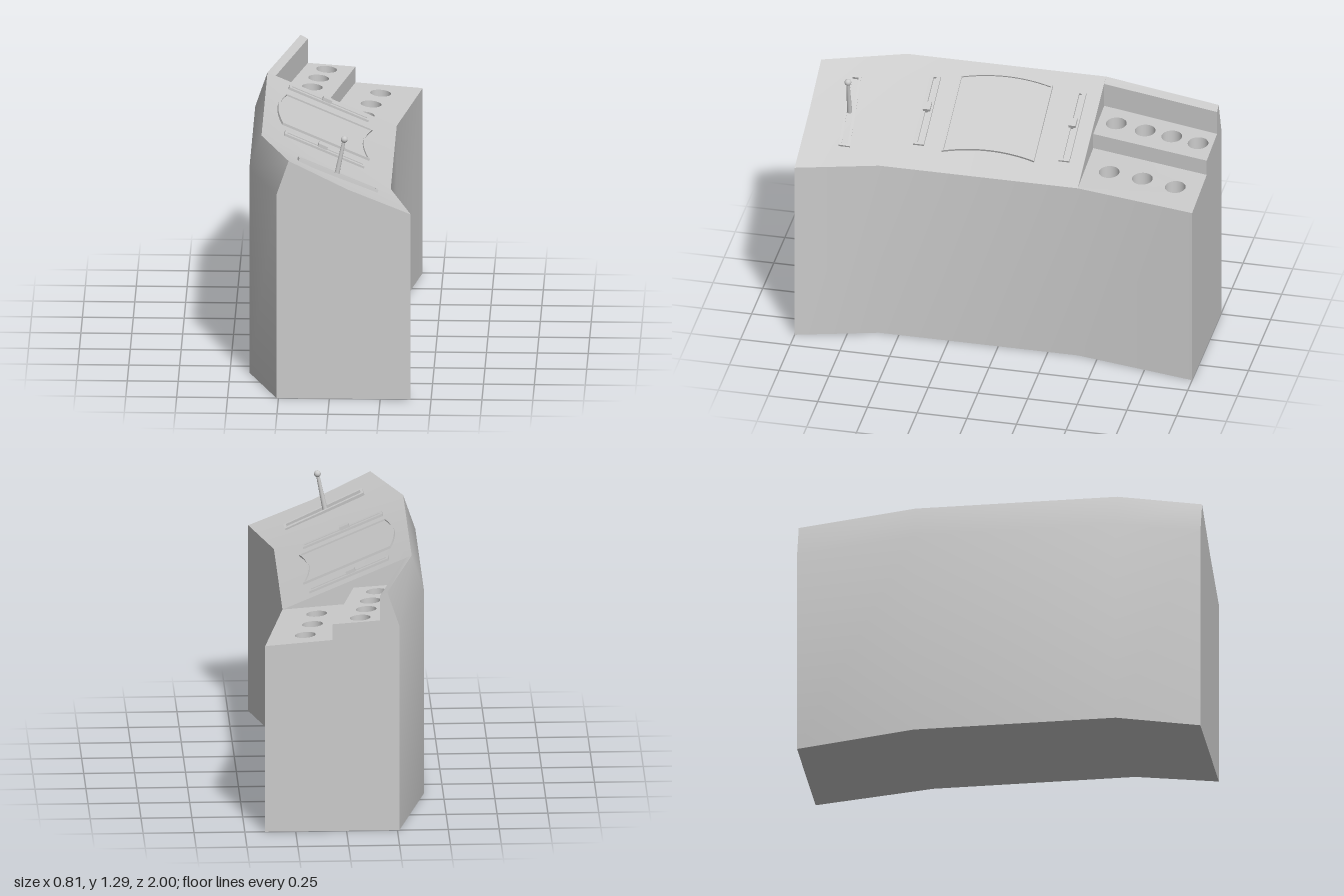
import * as THREE from 'three';
import { mergeGeometries, toCreasedNormals } from 'three/addons/utils/BufferGeometryUtils.js';

const grey = new THREE.MeshStandardMaterial({ color: 0xcccccc });
const inside = new THREE.MeshStandardMaterial({ color: 0xcccccc, side: THREE.BackSide });
const lerp = THREE.MathUtils.lerp;

// Plan stations: z, back x, front x, sag of the sloping top
const stations = [
  [1, -0.26, 0.40, 0.014],
  [0.6, -0.405, 0.29, 0],
  [-0.4, -0.405, 0.29, 0],
  [-1, -0.26, 0.40, 0],
];
const STRIP = 0.06, STEP = 0.45;
const along = (xb, xf, t) => lerp(xb + 0.06, xf, t);

function slopedProfile([, xb, xf, sag]) {
  return [[xb, 0], [xb, 1.05], [xb + 0.06, 1.225],
    [along(xb, xf, 0.48), lerp(1.225, 0.955, 0.48) - sag], [xf, 0.955], [xf, 0]];
}

function tieredProfile([, xb, xf]) {
  const a = along(xb, xf, STRIP), b = along(xb, xf, STEP);
  return [[xb, 0], [xb, 1.05], [xb + 0.06, 1.225], [a, 1.205], [a, 1.08],
    [b, 1.063], [b, 0.982], [xf, 0.955], [xf, 0]];
}

function add(parent, name, geometry, material = grey) {
  const mesh = new THREE.Mesh(geometry, material);
  mesh.name = name;
  parent.add(mesh);
  return mesh;
}

// Skin between neighbouring stations, leaving out the listed profile edges
function skin(list, profile, skip = []) {
  const pos = [];
  for (let s = 0; s < list.length - 1; s++) {
    const p = profile(list[s]), q = profile(list[s + 1]);
    const z0 = list[s][0], z1 = list[s + 1][0];
    p.forEach((a, i) => {
      if (skip.includes(i)) return;
      const j = (i + 1) % p.length, b = p[j], c = q[i], d = q[j];
      pos.push(...a, z0, ...b, z0, ...c, z1, ...b, z0, ...d, z1, ...c, z1);
    });
  }
  return new THREE.BufferGeometry().setAttribute('position', new THREE.Float32BufferAttribute(pos, 3));
}

// Flat end wall facing +z (dir 1) or -z (dir -1)
function cap(points, z, dir) {
  const shape = new THREE.Shape(points.map(([x, y]) => new THREE.Vector2(x * dir, y)));
  const g = new THREE.ShapeGeometry(shape).toNonIndexed();
  g.deleteAttribute('normal');
  g.deleteAttribute('uv');
  if (dir < 0) g.rotateY(Math.PI);
  return g.translate(0, 0, z);
}

// One tier floor with round wells
function tier(parent, t0, t1, y0, y1, wells) {
  const [, , n, f] = stations;
  const edge = (z, t) => {
    const k = (n[0] - z) / (n[0] - f[0]);
    return lerp(along(n[1], n[2], t), along(f[1], f[2], t), k);
  };
  const height = (x, z) => lerp(y0, y1, (x - edge(z, t0)) / (edge(z, t1) - edge(z, t0)));
  const R = 0.051, depth = 0.08, sides = 32;
  const shape = new THREE.Shape([[t0, -0.4], [t1, -0.4], [t1, -1], [t0, -1]]
    .map(([t, z]) => new THREE.Vector2(edge(z, t), -z)));
  for (const [x, z] of wells) {
    const pts = [];
    for (let i = 0; i < sides; i++) {
      const a = i / sides * Math.PI * 2;
      pts.push(new THREE.Vector2(x + R * Math.sin(a), -z - R * Math.cos(a)));
    }
    shape.holes.push(new THREE.Path(pts));
    const wall = new THREE.CylinderGeometry(R, R, depth, sides, 1, true);
    wall.translate(x, -depth / 2, z);
    const p = wall.attributes.position;
    for (let i = 0; i < p.count; i++) {
      const top = p.getY(i) > -depth / 2;
      p.setY(i, top ? height(p.getX(i), p.getZ(i)) : height(x, z) - depth);
    }
    add(parent, 'wellWall', wall, inside);
    add(parent, 'wellBottom', new THREE.CircleGeometry(R, sides).rotateX(-Math.PI / 2)
      .translate(x, height(x, z) - depth, z));
  }
  const floor = new THREE.ShapeGeometry(shape).rotateX(-Math.PI / 2);
  const p = floor.attributes.position;
  for (let i = 0; i < p.count; i++) p.setY(i, height(p.getX(i), p.getZ(i)));
  floor.computeVertexNormals();
  add(parent, 'tierFloor', floor);
}

// Raised rail frame with a groove along its middle
function rail(parent, length, width, groove) {
  const rect = (Type, l, w) => new Type([[-l, -w], [l, -w], [l, w], [-l, w]]
    .map(([x, y]) => new THREE.Vector2(x / 2, y / 2)));
  const shape = rect(THREE.Shape, length, width);
  shape.holes.push(rect(THREE.Path, length - 0.025, groove));
  add(parent, 'rail', new THREE.ExtrudeGeometry(shape, { depth: 0.022, bevelEnabled: false })
    .rotateX(-Math.PI / 2).translate(0, -0.012, 0));
}

// Curved-ended screen outline; inset shrinks it
function screenOutline(Type, inset) {
  const u0 = -0.22 + inset, u1 = 0.245 - inset, h = 0.2325 - inset;
  const path = new Type();
  path.moveTo(u0, -h);
  path.lineTo(u1, -h);
  path.quadraticCurveTo(u1 - 0.07, 0, u1, h);
  path.lineTo(u0, h);
  path.quadraticCurveTo(u0 - 0.065, 0, u0, -h);
  return path;
}

// Group lying on the sloping top: local x runs down the slope, local y is its normal
const SLOPE = -Math.atan2(0.27, 0.63);
function onSlope(parent, name, x, z) {
  const g = new THREE.Group();
  g.name = name;
  g.position.set(x, 1.225 + Math.tan(SLOPE) * (x + 0.34), z);
  g.rotation.z = SLOPE;
  parent.add(g);
  return g;
}

export function createModel() {
  const model = new THREE.Group();
  model.name = 'controlConsole';

  // Cabinet: sloped main part and stepped end part
  const body = mergeGeometries([
    skin(stations.slice(0, 3), slopedProfile),
    skin(stations.slice(2), tieredProfile, [4, 6]),
    cap(slopedProfile(stations[0]), 1, 1),
    cap(slopedProfile(stations[2]), -0.4, -1),
    cap(tieredProfile(stations[3]), -1, -1),
  ]);
  add(model, 'cabinet', toCreasedNormals(body, 0.6));

  // Stepped tiers with wells
  const tiers = new THREE.Group();
  tiers.name = 'tiers';
  model.add(tiers);
  tier(tiers, STRIP, STEP, 1.08, 1.063, [[-0.07, -0.925], [-0.105, -0.785], [-0.132, -0.645], [-0.168, -0.492]]);
  tier(tiers, STEP, 1, 0.982, 0.955, [[0.197, -0.87], [0.155, -0.695], [0.127, -0.522]]);

  // Screen with a thin raised frame
  const screen = onSlope(model, 'screen', -0.05, 0.078);
  const frame = screenOutline(THREE.Shape, 0);
  frame.holes.push(screenOutline(THREE.Path, 0.008));
  const flat = (shape, depth) => new THREE.ExtrudeGeometry(shape, { depth, bevelEnabled: false, curveSegments: 16 })
    .rotateX(-Math.PI / 2);
  add(screen, 'screenFrame', flat(frame, 0.012));
  add(screen, 'screenPanel', flat(screenOutline(THREE.Shape, 0.008), 0.004));

  // Two sliders
  for (const z of [0.432, -0.3]) {
    const slider = onSlope(model, 'slider', -0.042, z);
    rail(slider, 0.425, 0.055, 0.014);
    add(slider, 'sliderKnob', new THREE.BoxGeometry(0.048, 0.03, 0.036).translate(-0.014, 0.012, 0));
  }

  // Lever slot on the angled end
  const slot = onSlope(model, 'leverSlot', 0.035, 0.803);
  slot.position.y = 1.09;
  slot.rotation.set(-0.13, 0.13, SLOPE);
  rail(slot, 0.425, 0.056, 0.03);

  // Lever with a ball grip
  const lever = new THREE.Group();
  lever.name = 'lever';
  lever.position.set(0.028, 1.08, 0.806);
  lever.rotation.z = -0.2;
  model.add(lever);
  add(lever, 'leverRod', new THREE.CylinderGeometry(0.008, 0.013, 0.2, 20).translate(0, 0.1, 0));
  add(lever, 'leverBall', new THREE.SphereGeometry(0.017, 24, 16).translate(0, 0.2, 0));

  return model;
}
